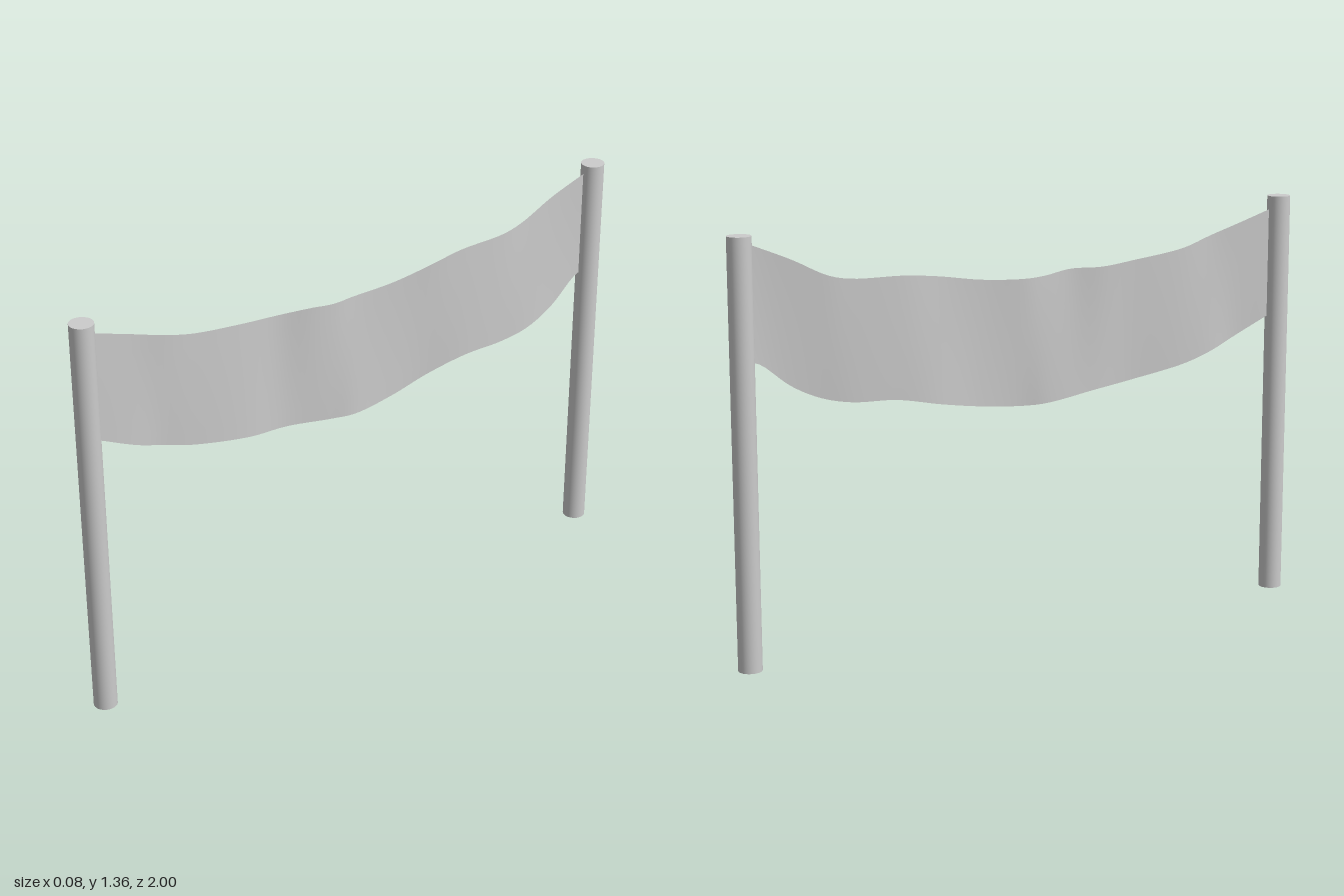
import * as THREE from 'three';

const POLE_R = 0.038, POLE_H = 1.355, POLE_Z = 0.962;

// Smooth curve through [z, y, x] edge points
const edge = (pts) => new THREE.CatmullRomCurve3(
  pts.map(([z, y, x]) => new THREE.Vector3(x, y, z)), false, 'centripetal');

// Point of a curve at a given z (z falls steadily along the curve)
function atZ(curve, z) {
  let lo = 0, hi = 1;
  for (let i = 0; i < 30; i++) {
    const mid = (lo + hi) / 2;
    if (curve.getPoint(mid).z > z) lo = mid; else hi = mid;
  }
  return curve.getPoint(lo);
}

export function createModel() {
  const group = new THREE.Group();
  const grey = new THREE.MeshStandardMaterial({ color: 0xcccccc });
  const clothGrey = new THREE.MeshStandardMaterial({ color: 0xcccccc, side: THREE.DoubleSide });

  // Two upright poles
  for (const [name, side] of [['frontPole', 1], ['backPole', -1]]) {
    const pole = new THREE.Mesh(new THREE.CylinderGeometry(POLE_R, POLE_R, POLE_H, 32), grey);
    pole.name = name;
    pole.position.set(0, POLE_H / 2, side * POLE_Z);
    group.add(pole);
  }

  // Sagging, slightly rippled hems of the cloth
  const top = edge([
    [0.93, 1.312, 0], [0.8, 1.27, 0.003], [0.7, 1.238, 0.008], [0.59, 1.205, 0], [0.4, 1.18, -0.004],
    [0.28, 1.168, -0.008], [0.17, 1.167, 0.01], [0.08, 1.153, 0.006], [0, 1.15, -0.004],
    [-0.15, 1.158, 0.003], [-0.3, 1.18, 0.008], [-0.42, 1.193, 0], [-0.6, 1.198, -0.004],
    [-0.68, 1.215, -0.009], [-0.8, 1.273, -0.008], [-0.93, 1.327, 0]]);
  const bottom = edge([
    [0.93, 0.953, 0], [0.8, 0.893, 0.004], [0.7, 0.853, -0.008], [0.6, 0.82, -0.006], [0.4, 0.783, 0.003],
    [0.25, 0.765, -0.009], [0.08, 0.738, -0.003], [0, 0.735, 0.009], [-0.15, 0.75, 0.003],
    [-0.3, 0.775, -0.009], [-0.45, 0.803, 0], [-0.6, 0.81, 0.006], [-0.7, 0.832, 0.013],
    [-0.8, 0.88, 0.011], [-0.9, 0.957, 0.003], [-0.93, 0.968, 0]]);

  // Cloth panel: a grid stretched between the two hems
  const geo = new THREE.PlaneGeometry(1, 1, 80, 8);
  const pos = geo.attributes.position, uv = geo.attributes.uv;
  for (let i = 0; i < pos.count; i++) {
    const z = THREE.MathUtils.lerp(0.929, -0.929, uv.getX(i));
    const p = atZ(bottom, z).lerp(atZ(top, z), uv.getY(i));
    pos.setXYZ(i, p.x, p.y, z);
  }
  geo.computeVertexNormals();
  const cloth = new THREE.Mesh(geo, clothGrey);
  cloth.name = 'clothBanner';
  group.add(cloth);

  return group;
}
